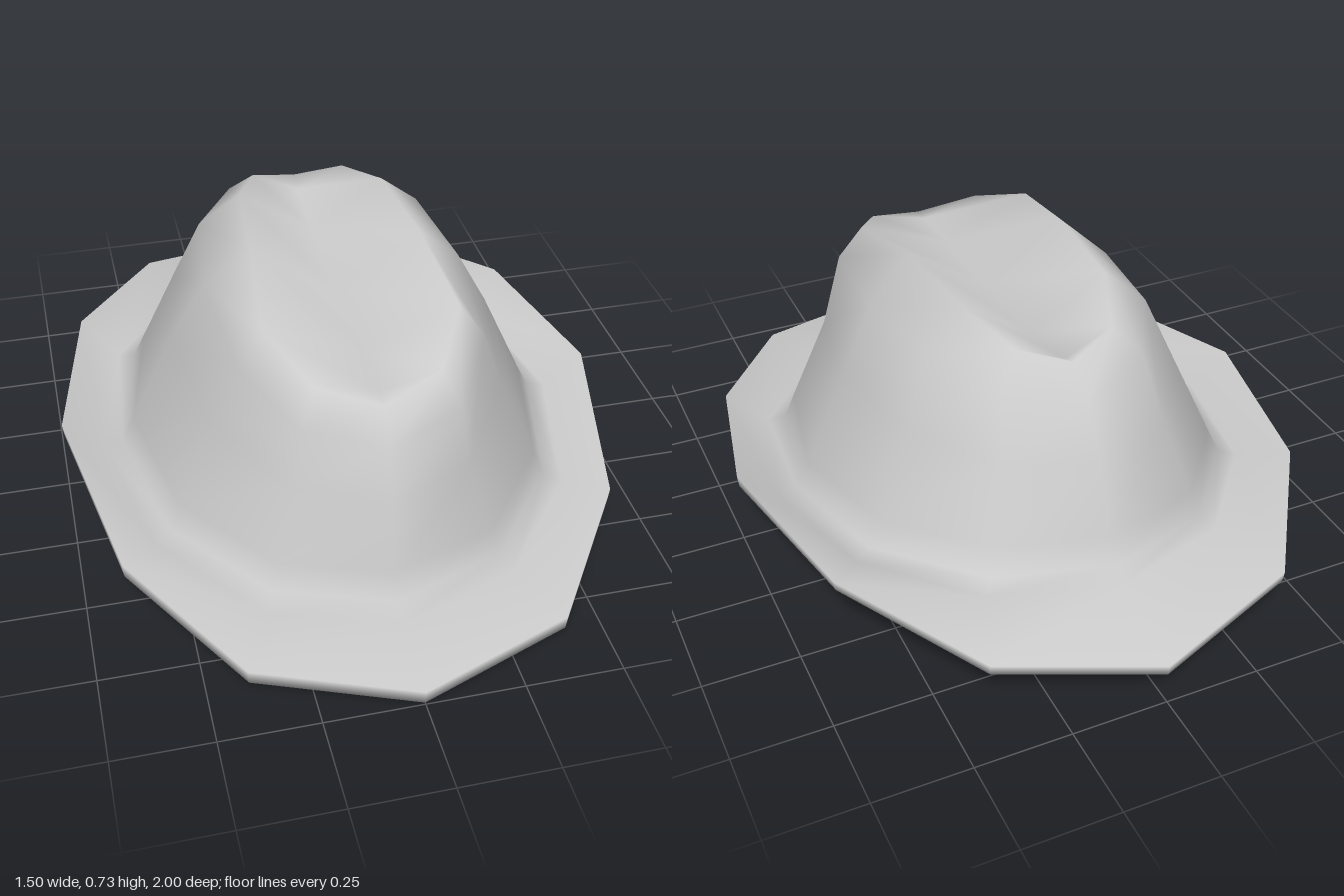
import * as THREE from 'three';
import { mergeVertices } from 'three/addons/utils/BufferGeometryUtils.js';

const SIDES = 12;

// Half loop from front (0) to back (6), mirrored to a full loop of 12 points
function mirrored(half) {
  const loop = [];
  for (let k = 0; k < SIDES; k++) {
    const [x, y, z] = half[k <= 6 ? k : SIDES - k];
    loop.push([k <= 6 ? x : -x, y, z]);
  }
  return loop;
}

// Egg-shaped loop; its height passes through the front, side and back values
function oval(rx, zFront, zBack, yFront, ySide, yBack) {
  const half = [];
  for (let k = 0; k <= 6; k++) {
    const a = (k / 6) * Math.PI, c = Math.cos(a);
    const y = ySide + ((yFront - yBack) / 2) * c + ((yFront + yBack) / 2 - ySide) * c * c;
    half.push([rx * Math.sin(a), y, (c > 0 ? zFront : zBack) * c]);
  }
  return mirrored(half);
}

// Brim edge loop with individual heights
function brimEdge(heights, scale) {
  const widths = [0, 0.4, 0.65, 0.75, 0.65, 0.4, 0];
  return mirrored(heights.map((y, k) => [widths[k] * scale, y, scale * Math.cos((k / 6) * Math.PI)]));
}

const inset = (loop, s, drop) => loop.map(([x, y, z]) => [x * s, y - drop, z * s]);

export function createModel() {
  // Pinched top: centre valley, ridge around it, rounded shoulder
  const ridge = mirrored([
    [0, 0.57, 0.57], [0.16, 0.615, 0.515], [0.25, 0.68, 0.35], [0.225, 0.735, 0.07],
    [0.2, 0.735, -0.23], [0.13, 0.69, -0.41], [0, 0.65, -0.46],
  ]);
  const valleyY = [0.57, 0.575, 0.58, 0.588, 0.6, 0.63, 0.65];
  const valley = mirrored(valleyY.map((y, k) => [0, y, ridge[k][2]]));
  const shoulder = mirrored([
    [0, 0.49, 0.63], [0.2, 0.525, 0.56], [0.315, 0.59, 0.37], [0.345, 0.625, 0.03],
    [0.31, 0.64, -0.26], [0.19, 0.625, -0.465], [0, 0.59, -0.55],
  ]);
  const middle = oval(0.44, 0.675, 0.62, 0.35, 0.45, 0.45);
  const low = oval(0.555, 0.72, 0.695, 0.17, 0.2, 0.28);

  const loops = [
    // Crown
    valley, ridge, shoulder, middle, low,
    oval(0.59, 0.735, 0.72, 0.09, 0.13, 0.21),
    // Brim: top, edge, underside
    oval(0.64, 0.785, 0.765, 0.055, 0.118, 0.185),
    brimEdge([0.045, 0.07, 0.13, 0.212, 0.21, 0.16, 0.12], 1),
    brimEdge([0.005, 0.03, 0.09, 0.18, 0.183, 0.13, 0.09], 0.995),
    oval(0.66, 0.78, 0.78, 0.01, 0.075, 0.13),
    // Lining
    oval(0.56, 0.7, 0.69, 0.045, 0.1, 0.18),
    inset(middle, 0.94, 0.01), inset(shoulder, 0.93, 0.03),
    inset(ridge, 0.92, 0.04), inset(valley, 0.92, 0.04),
  ];

  // Skin the loops into one smooth surface
  const index = [];
  for (let i = 0; i < loops.length - 1; i++) {
    for (let k = 0; k < SIDES; k++) {
      const a = i * SIDES + k, b = i * SIDES + ((k + 1) % SIDES);
      index.push(a, a + SIDES, b, b, a + SIDES, b + SIDES);
    }
  }
  let skin = new THREE.BufferGeometry();
  skin.setAttribute('position', new THREE.Float32BufferAttribute(loops.flat(2), 3));
  skin.setIndex(index);
  skin = mergeVertices(skin, 1e-4);
  skin.computeVertexNormals();

  // Split into named parts that share their normals along the seams
  const material = new THREE.MeshStandardMaterial({ color: 0xcccccc, side: THREE.DoubleSide });
  const hat = new THREE.Group();
  hat.name = 'hat';
  const all = Array.from(skin.index.array);
  for (const [name, from, to] of [['crown', 0, 5], ['brim', 5, 9], ['lining', 9, 14]]) {
    const part = skin.clone();
    part.setIndex(all.slice(from * SIDES * 6, to * SIDES * 6));
    const mesh = new THREE.Mesh(part, material);
    mesh.name = name;
    hat.add(mesh);
  }
  return hat;
}
